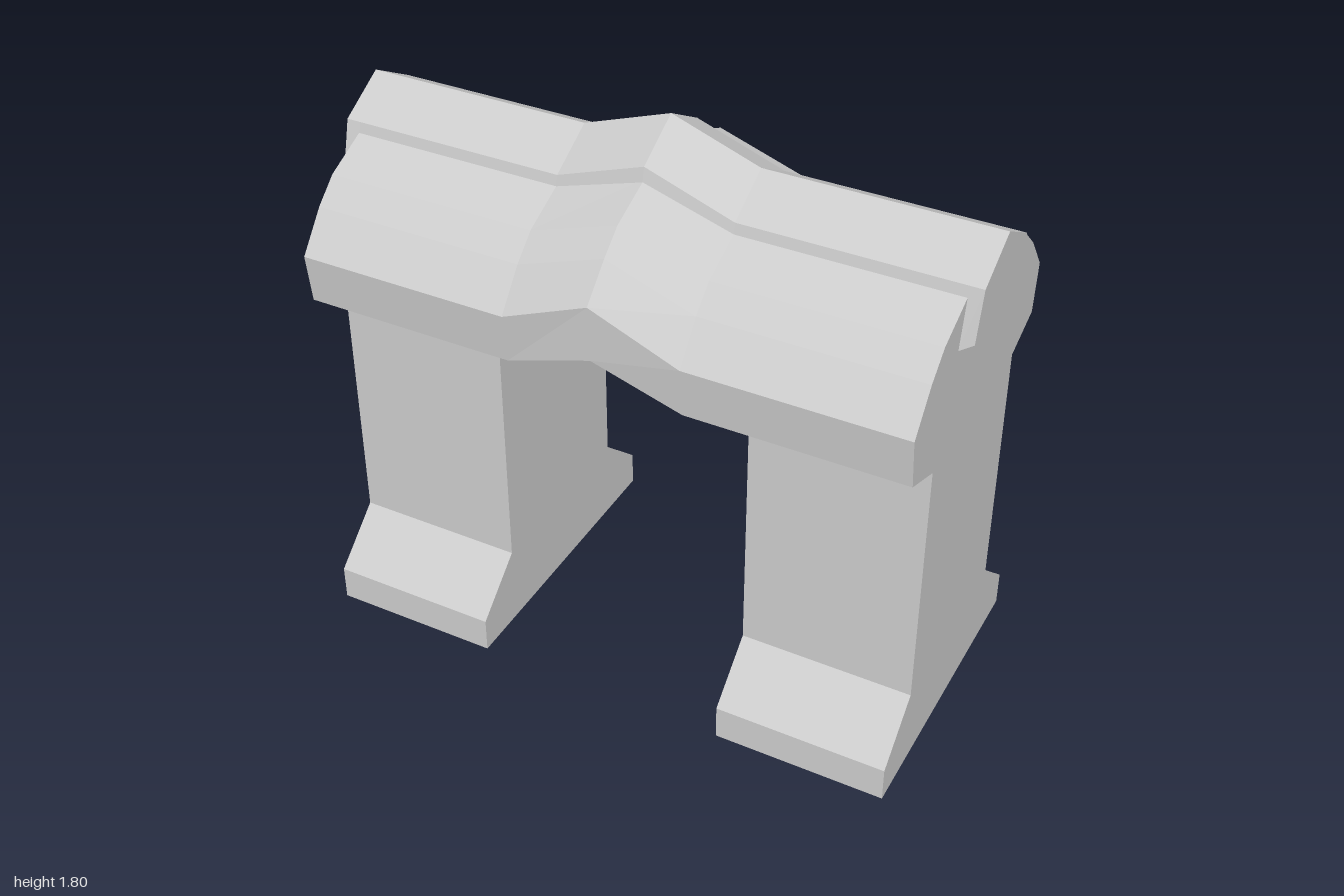
import * as THREE from 'three';

const material = new THREE.MeshStandardMaterial({ color: 0xcccccc, flatShading: true });

// Mirror a half outline [z, y], listed from top centre to bottom centre, into a closed ring.
function mirrorRing(half) {
  const back = half.map(([z, y]) => [-z, y]);
  const front = half.slice(1, -1).reverse();
  return [...back, ...front];
}

// Skin a row of half outlines along x and close both ends.
function loft(name, stations) {
  const rings = stations.map(({ x, half }) =>
    mirrorRing(half).map(([z, y]) => new THREE.Vector3(x, y, z)));
  const n = rings[0].length;
  const hub = stations[0].half.length - 1;
  const points = [];
  for (let i = 0; i < rings.length - 1; i++) {
    for (let j = 0; j < n; j++) {
      const k = (j + 1) % n;
      const a = rings[i][j], b = rings[i + 1][j], c = rings[i + 1][k], d = rings[i][k];
      points.push(a, b, c, a, c, d);
    }
  }
  const first = rings[0], last = rings[rings.length - 1];
  for (let j = 0; j < n; j++) {
    const k = (j + 1) % n;
    if (j === hub || k === hub) continue;
    points.push(first[hub], first[j], first[k], last[hub], last[k], last[j]);
  }
  const geometry = new THREE.BufferGeometry().setFromPoints(points);
  geometry.computeVertexNormals();
  const mesh = new THREE.Mesh(geometry, material);
  mesh.name = name;
  return mesh;
}

// Pillar with a flared foot
function makePillar(name, x0, x1) {
  const half = [[0, 1.1], [0.313, 1.1], [0.313, 0.27], [0.487, 0.115], [0.487, 0], [0, 0]];
  return loft(name, [{ x: x0, half }, { x: x1, half }]);
}

// Lintel outline; lift raises the peak, soffit is the height of the underside
function lintelHalf(lift, soffit) {
  return [
    [0, 1.6 + 0.09 * lift],
    [0.16, 1.58 + 0.09 * lift],
    [0.313, 1.51 + 0.095 * lift],
    [0.39, 1.44 + 0.1 * lift],
    [0.485 + 0.005 * lift, 1.32 + 0.12 * lift],
    [0.467 + 0.015 * lift, 1.16 + 0.1 * lift],
    [0.313, soffit],
    [0, soffit],
  ];
}

// Ridge outline; drop lowers its notched underside
function ridgeHalf(lift, drop) {
  const up = 0.1 * lift;
  return [
    [0, 1.7 + up], [0.16, 1.61 + up],
    [0.2, 1.46 + up - drop], [0, 1.51 + up - drop],
  ];
}

export function createModel() {
  const group = new THREE.Group();
  group.name = 'archway';

  group.add(makePillar('leftPillar', 0.41, 0.957));
  group.add(makePillar('rightPillar', -0.957, -0.41));

  // Lintel with a peaked centre
  const lintel = [[-0.957, 0, 1.1], [-0.41, 0, 1.1], [-0.28, 0, 1.16], [0, 1, 1.27],
    [0.28, 0, 1.16], [0.41, 0, 1.1], [0.957, 0, 1.1]];
  group.add(loft('lintel', lintel.map(([x, lift, soffit]) => ({ x, half: lintelHalf(lift, soffit) }))));

  // Ridge beam overhanging both ends
  const ridge = [[-1, 0, 0], [-0.955, 0, 0.033], [-0.28, 0, 0.033], [0, 1, 0.033],
    [0.28, 0, 0.033], [0.955, 0, 0.033], [1, 0, 0]];
  group.add(loft('ridgeBeam', ridge.map(([x, lift, drop]) => ({ x, half: ridgeHalf(lift, drop) }))));

  return group;
}
